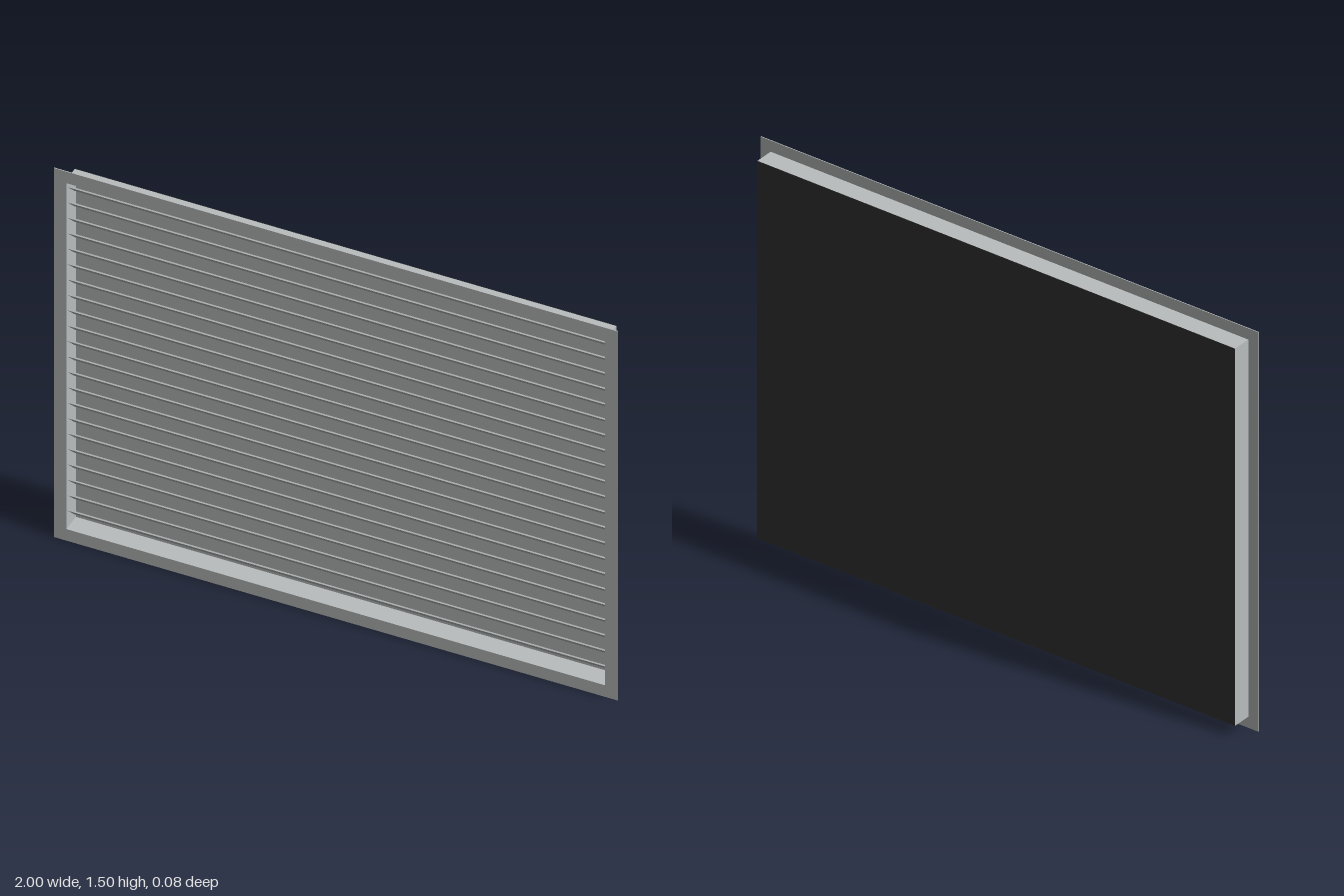
import * as THREE from 'three';

export function createModel() {
  const model = new THREE.Group();
  const aluminium = new THREE.MeshStandardMaterial({ name: 'paleGreyMetal', color: 0xb9bdbd });
  const black = new THREE.MeshStandardMaterial({ name: 'blackBacking', color: 0x333333 });

  const W = 2, H = 1.5, MID = H / 2;
  const BOX_W = 1.92, BOX_H = 1.416;   // outside of the recessed tray
  const WALL = 0.005, FRONT = 0.0375, BACK = -0.0375;

  const add = (name, geometry, material, x, y, z) => {
    const mesh = new THREE.Mesh(geometry, material);
    mesh.name = name;
    mesh.position.set(x, y, z);
    model.add(mesh);
    return mesh;
  };

  // Rectangular ring extruded along z
  const ring = (w, h, innerW, innerH, depth) => {
    const rect = (C, a, b) => new C([
      new THREE.Vector2(-a / 2, -b / 2), new THREE.Vector2(a / 2, -b / 2),
      new THREE.Vector2(a / 2, b / 2), new THREE.Vector2(-a / 2, b / 2),
    ]);
    const shape = rect(THREE.Shape, w, h);
    shape.holes.push(rect(THREE.Path, innerW, innerH));
    return new THREE.ExtrudeGeometry(shape, { depth, bevelEnabled: false });
  };

  const innerW = BOX_W - 2 * WALL, innerH = BOX_H - 2 * WALL;

  // Thin mounting flange and the tray walls behind it
  const FLANGE = 0.003;
  add('flange', ring(W, H, innerW, innerH, FLANGE), aluminium, 0, MID, FRONT - FLANGE);
  add('trayWalls', ring(BOX_W, BOX_H, innerW, innerH, FRONT - FLANGE - BACK - 0.002),
    aluminium, 0, MID, BACK + 0.002);

  // Tray floor with its black rear sheet
  add('trayFloor', new THREE.BoxGeometry(innerW, innerH, 0.002), aluminium, 0, MID, BACK + 0.003);
  add('backSheet', new THREE.BoxGeometry(BOX_W, BOX_H, 0.002), black, 0, MID, BACK + 0.001);

  // Louvre slats, front edge high and back edge low
  const COUNT = 22, TOP = 1.4075, BOTTOM = 0.0925;
  const slat = new THREE.BoxGeometry(innerW, 0.005, 0.072);
  for (let i = 0; i < COUNT; i++) {
    const y = TOP + (BOTTOM - TOP) * i / (COUNT - 1);
    add('slat' + (i + 1), slat, aluminium, 0, y, 0.002).rotation.x = -Math.PI / 4;
  }
  return model;
}
